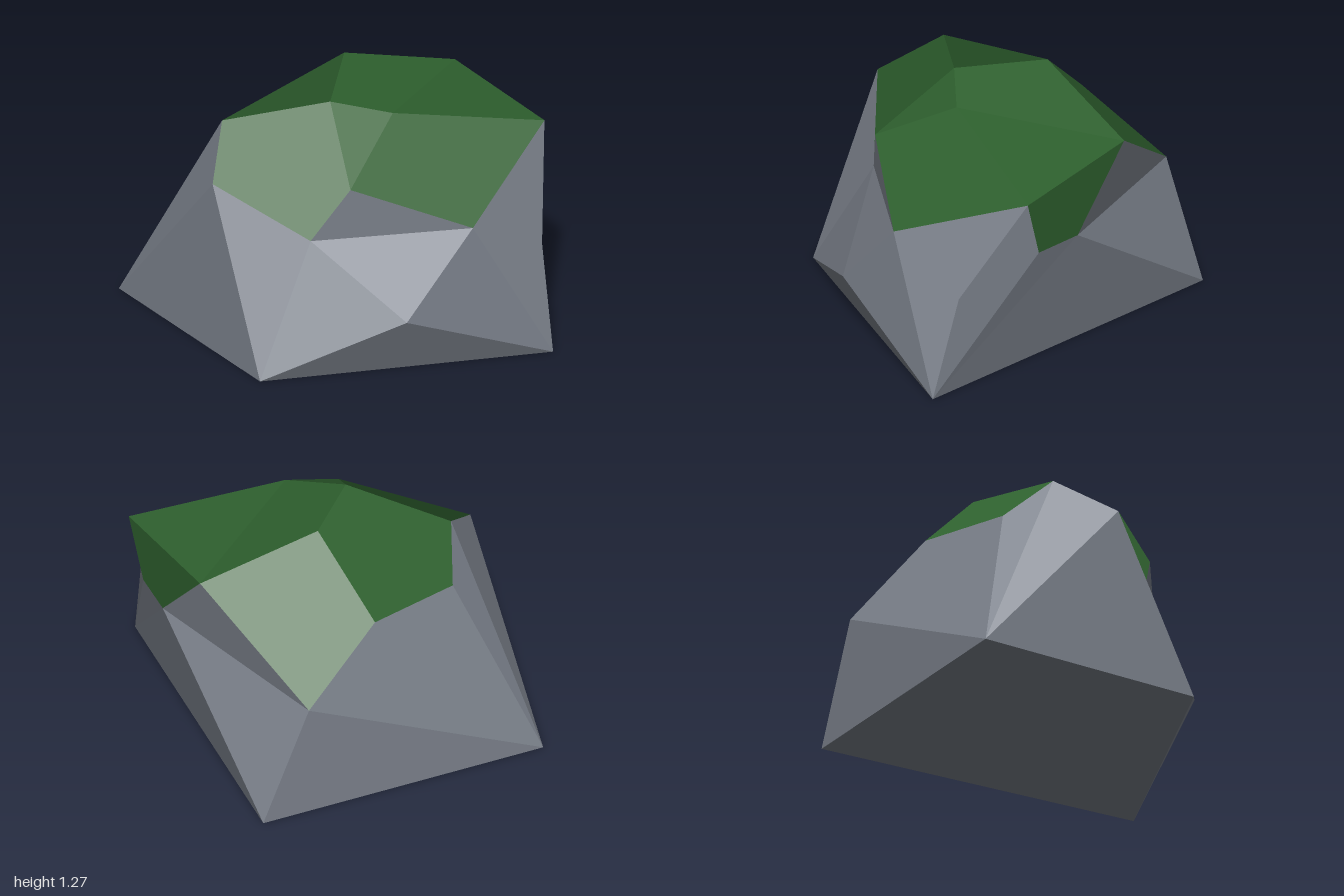
import * as THREE from 'three';

// Corner points of the boulder, grouped from the ground upwards
const corners = {
  // footprint
  A: [-1, 0, 0.64], B: [0.22, 0, 0.85], C: [1, 0, -0.42], D: [-0.71, 0, -0.86],
  // flanks
  E: [0.72, 0.32, 0.32], F: [0.81, 0.75, -0.05], G: [0.21, 0.65, 0.49],
  P: [-0.75, 0.61, -0.61], S: [0.51, 0.71, -0.72], T: [0.26, 0.71, -0.78], U: [0.86, 0.53, -0.48],
  // shoulder
  H: [-0.21, 0.91, 0.76], I: [-0.41, 1.1, 0.5], J: [0.37, 0.95, 0.37], N: [0.62, 1.04, -0.73],
  O: [-0.1, 1.09, -0.81], Q: [-0.67, 0.91, -0.15], R: [-0.62, 0.89, 0.36],
  // crown
  K: [0, 1.23, 0.15], L: [-0.28, 1.27, -0.22], M: [0.25, 1.19, -0.04],
};

// Facets as loops of corners, each split as a fan from its first corner
const stoneFacets = [
  'ABCD', 'ABH', 'AHI', 'AIR', 'ARQP', 'APD', // underside, front and left flank
  'BGH', 'GEB', 'GFE', 'BCE', 'GFJ',          // front right flank
  'ECF', 'UNFC', 'UCSN',                      // right flank
  'SCT', 'CDT', 'DPT', 'POT',                 // back
];
const mossFacets = [
  'HIKJG', 'KMJ', 'MNFJ', 'IKLQR', 'LPOQ', 'LKMO', 'MNO', 'NOTS',
];
mossFacets[4] = 'LQPO';

const centre = new THREE.Vector3(0, 0.55, 0);

// Flat facets with one normal each, always wound to face away from the centre
function facetGeometry(facets) {
  const positions = [], normals = [];
  for (const facet of facets) {
    const loop = [...facet].map((key) => new THREE.Vector3(...corners[key]));
    const normal = new THREE.Vector3(), middle = new THREE.Vector3();
    loop.forEach((p, i) => {
      normal.add(new THREE.Vector3().crossVectors(p, loop[(i + 1) % loop.length]));
      middle.addScaledVector(p, 1 / loop.length);
    });
    if (normal.dot(middle.sub(centre)) < 0) {
      normal.negate();
      loop.push(...loop.splice(1).reverse());
    }
    normal.normalize();
    for (let i = 1; i < loop.length - 1; i++) {
      for (const p of [loop[0], loop[i], loop[i + 1]]) {
        positions.push(p.x, p.y, p.z);
        normals.push(normal.x, normal.y, normal.z);
      }
    }
  }
  const geometry = new THREE.BufferGeometry();
  geometry.setAttribute('position', new THREE.Float32BufferAttribute(positions, 3));
  geometry.setAttribute('normal', new THREE.Float32BufferAttribute(normals, 3));
  return geometry;
}

export function createModel() {
  const stone = new THREE.MeshStandardMaterial({ color: 0x7c828c });
  stone.name = 'stone grey';
  const moss = new THREE.MeshStandardMaterial({ color: 0x2e602e });
  moss.name = 'moss green';

  const group = new THREE.Group();
  group.name = 'mossyBoulder';
  const parts = [['stoneBody', stoneFacets, stone], ['mossCap', mossFacets, moss]];
  for (const [name, facets, material] of parts) {
    const mesh = new THREE.Mesh(facetGeometry(facets), material);
    mesh.name = name;
    group.add(mesh);
  }
  return group;
}
